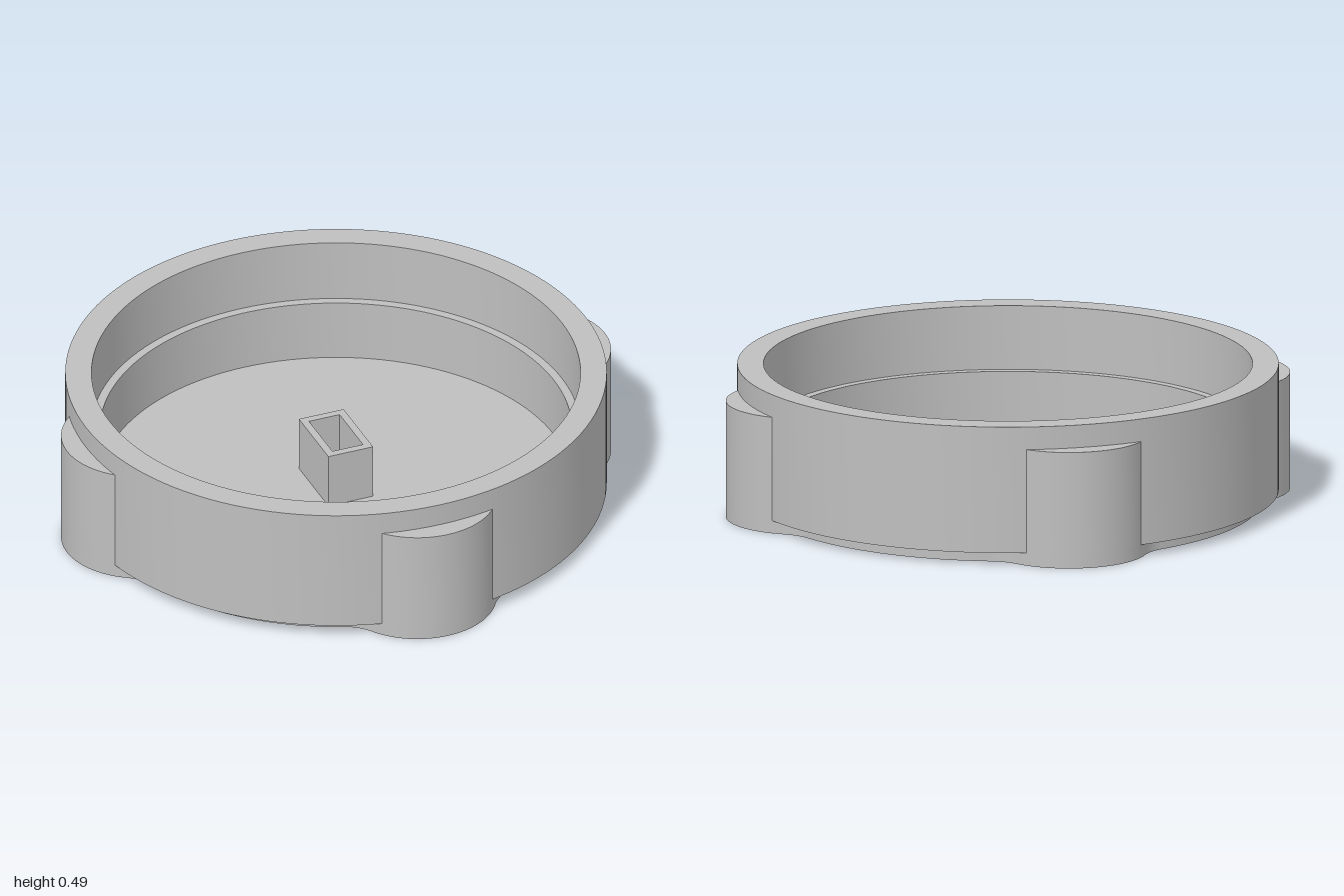
import * as THREE from 'three';
import { toCreasedNormals } from 'three/addons/utils/BufferGeometryUtils.js';

export function createModel() {
  const model = new THREE.Group();
  model.name = 'knob';
  const grey = new THREE.MeshStandardMaterial({ color: 0xbfbfbf });
  grey.name = 'grey plastic';

  const baseTop = 0.045, baseR = 0.866;
  const lobeR = 0.272, lobeDist = 1 - lobeR, filletR = 0.163;

  // Fillet centre: tangent to both the base circle and the lobe circle
  const R = baseR + filletR;
  const a = Math.acos((R * R + lobeDist ** 2 - (lobeR + filletR) ** 2) / (2 * R * lobeDist));
  const b = Math.atan2(R * Math.sin(a), R * Math.cos(a) - lobeDist);

  const add = (name, geometry) => {
    const mesh = new THREE.Mesh(toCreasedNormals(geometry, 0.6), grey);
    mesh.name = name;
    model.add(mesh);
    return mesh;
  };
  // Upright prism from a plan shape, between two heights
  const prism = (shape, y0, y1) => {
    const g = new THREE.ExtrudeGeometry(shape, { depth: y1 - y0, bevelEnabled: false, curveSegments: 20 });
    return g.rotateX(-Math.PI / 2).translate(0, y0, 0);
  };

  // Base plate: circle with four lobes blended in by fillets
  const outline = new THREE.Shape();
  for (let k = 0; k < 4; k++) {
    const t = k * Math.PI / 2, c = Math.cos(t), s = Math.sin(t);
    const fillet = (angle, from, to) =>
      outline.absarc(R * Math.cos(angle), R * Math.sin(angle), filletR, from, to, true);
    fillet(t - a, t - a + Math.PI, t - b + Math.PI);
    outline.absarc(lobeDist * c, lobeDist * s, lobeR, t - b, t + b, false);
    fillet(t + a, t + b + Math.PI, t + a + Math.PI);
    outline.absarc(0, 0, baseR, t + a, t + Math.PI / 2 - a, false);
  }
  add('basePlate', prism(outline, 0, baseTop));

  // Outer wall with a stepped inside
  const profile = [
    [0.81, baseTop], [0.93, baseTop], [0.93, 0.49], [0.84, 0.49],
    [0.84, 0.265], [0.81, 0.265], [0.81, baseTop],
  ].map(([r, y]) => new THREE.Vector2(r, y));
  add('wall', new THREE.LatheGeometry(profile, 128));

  // Grip lobes up the outside of the wall
  for (let k = 0; k < 4; k++) {
    const lobe = new THREE.Shape();
    lobe.absarc(lobeDist, 0, lobeR, -b, b, false);
    lobe.closePath();
    add('gripLobe', prism(lobe, baseTop, 0.41)).rotation.y = k * Math.PI / 2;
  }

  // Hollow rectangular socket in the middle
  const rect = (Type, w, d) => new Type([[-w, -d], [w, -d], [w, d], [-w, d]]
    .map(([x, y]) => new THREE.Vector2(x, y)));
  const socket = rect(THREE.Shape, 0.083, 0.132);
  socket.holes.push(rect(THREE.Path, 0.057, 0.105));
  add('socket', prism(socket, baseTop, 0.245));

  return model;
}
